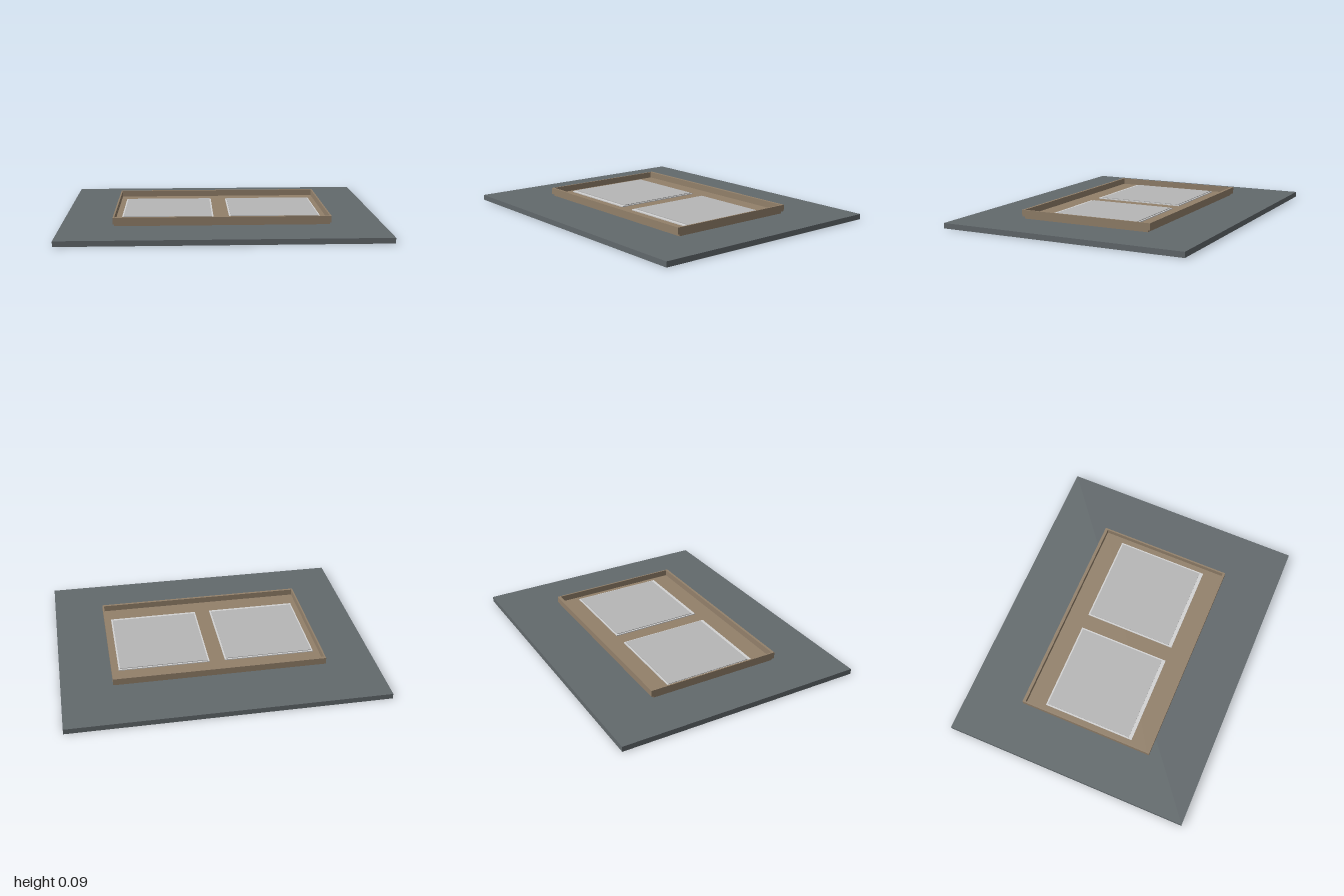
import * as THREE from 'three';

function material(name, color) {
  const m = new THREE.MeshStandardMaterial({ color });
  m.name = name;
  return m;
}

export function createModel() {
  const model = new THREE.Group();
  model.name = 'framedPanels';
  const slate = material('slate grey', 0x62696c);
  const wood = material('brown wood', 0x92806a);
  const pale = material('pale grey', 0xd2d2d2);
  const grey = material('light grey', 0xb6b6b6);

  // Box given by its extents along each axis
  function box(name, mat, [x0, x1], [y0, y1], [z0, z1], parent = model) {
    const mesh = new THREE.Mesh(new THREE.BoxGeometry(x1 - x0, y1 - y0, z1 - z0), mat);
    mesh.position.set((x0 + x1) / 2, (y0 + y1) / 2, (z0 + z1) / 2);
    mesh.name = name;
    parent.add(mesh);
  }

  // Ground slab and tray floor
  box('baseSlab', slate, [-1, 1], [0, 0.034], [-0.8, 0.8]);
  box('trayFloor', wood, [-0.67, 0.67], [0.034, 0.05], [-0.42, 0.432]);

  // Raised rim, slightly overhanging the floor
  const outer = [[-0.677, -0.437], [0.677, -0.437], [0.677, 0.446], [-0.677, 0.446]];
  const inner = [[-0.667, -0.418], [-0.667, 0.43], [0.667, 0.43], [0.667, -0.418]];
  const points = (list) => list.map(([x, z]) => new THREE.Vector2(x, -z));
  const shape = new THREE.Shape(points(outer));
  shape.holes.push(new THREE.Path(points(inner)));
  const rimGeometry = new THREE.ExtrudeGeometry(shape, { depth: 0.042, bevelEnabled: false });
  rimGeometry.rotateX(-Math.PI / 2);
  const rim = new THREE.Mesh(rimGeometry, wood);
  rim.name = 'trayRim';
  rim.position.y = 0.048;
  model.add(rim);

  // Two panels, each a pale backing with a grey face
  for (const side of [-1, 1]) {
    const panel = new THREE.Group();
    panel.name = side < 0 ? 'rightPanel' : 'leftPanel';
    panel.position.x = side * 0.34;
    box('panelBacking', pale, [-0.29, 0.29], [0.05, 0.056], [-0.295, 0.306], panel);
    box('panelFace', grey, [-0.28, 0.28], [0.056, 0.06], [-0.285, 0.283], panel);
    model.add(panel);
  }
  return model;
}
